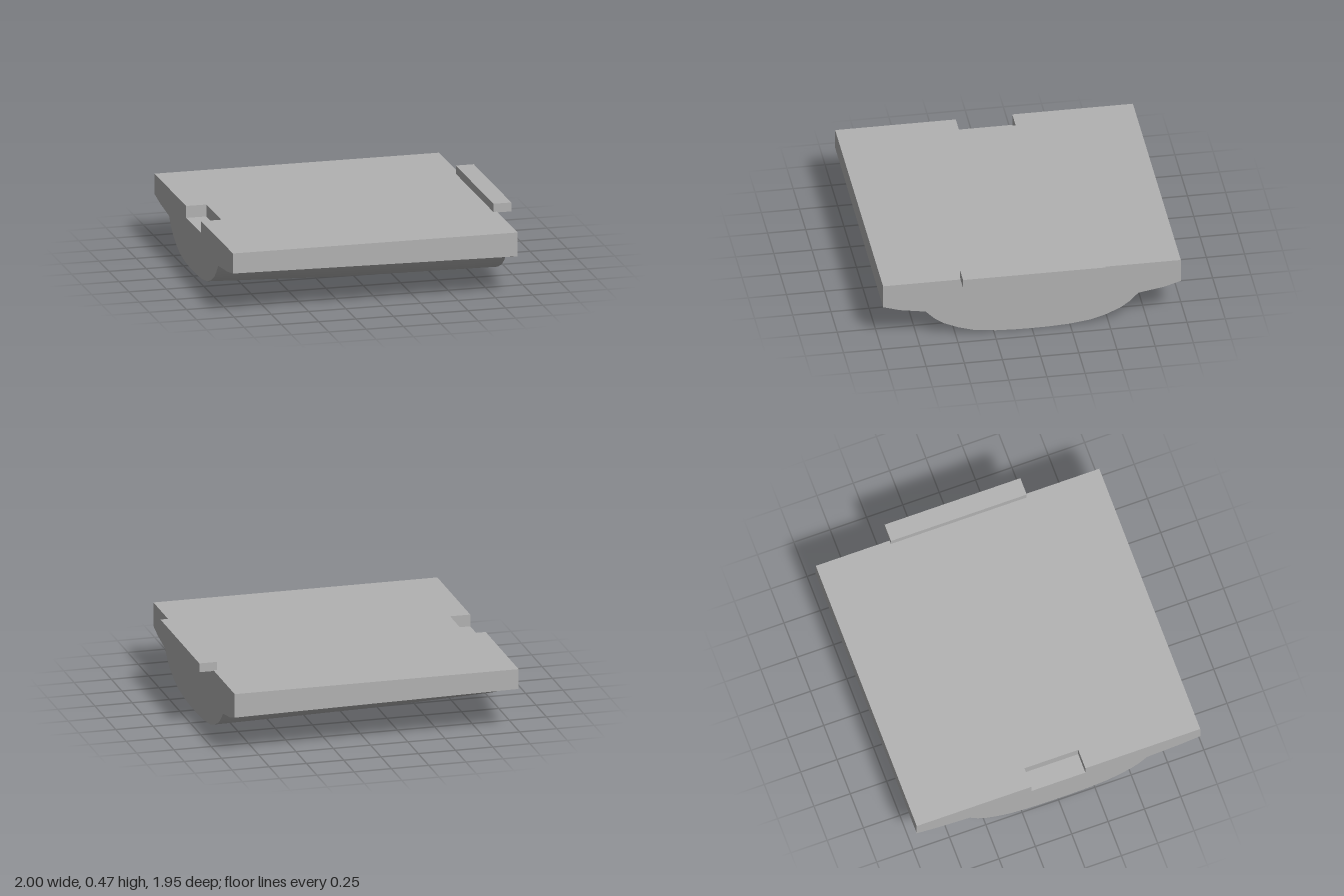
import * as THREE from 'three';
import { toCreasedNormals } from 'three/addons/utils/BufferGeometryUtils.js';

const TOP = 0.42, HALF = 0.975, X0 = -1, X1 = 0.905;
const NOTCH_X = -0.865, NOTCH_Z = 0.185, NOTCH_Y = 0.34;

// belly outline from shoulder to keel: [fraction of half width, fraction of depth]
const BELLY = [[1, 1], [0.914, 0.7], [0.83, 0.49], [0.69, 0.275], [0.55, 0.13], [0.34, 0.035], [0.14, 0.004]];

// cross-section at x as [z, y], running from -z along the underside, then back over the top
function section(x, notched) {
  const t = (x - X0) / (X1 - X0);
  const lerp = THREE.MathUtils.lerp;
  const edgeY = lerp(0.285, 0.26, t);
  const shoulderZ = lerp(0.61, 0.697, t), shoulderY = lerp(0.237, 0.198, t);
  const keelY = x < -0.15 ? lerp(0.03, 0.003, (x - X0) / 0.85) : lerp(0.003, 0, (x + 0.15) / 1.055);
  const half = [
    [HALF, TOP], [HALF, edgeY],
    [lerp(HALF, shoulderZ, 0.4), lerp(edgeY, shoulderY, 0.55)],
    ...BELLY.map(([w, h]) => [w * shoulderZ, lerp(keelY, shoulderY, h)]),
  ];
  const ring = [...half.map(([z, y]) => [-z, y]), [0, keelY], ...half.slice().reverse()];
  if (notched) ring.push([NOTCH_Z, TOP], [NOTCH_Z, NOTCH_Y], [-NOTCH_Z, NOTCH_Y], [-NOTCH_Z, TOP]);
  return ring;
}

// skin between the sections, with optional end caps
function loft(out, xs, notched, capEnd) {
  const rings = xs.map((x) => section(x, notched).map(([z, y]) => [x, y, z]));
  const n = rings[0].length;
  for (let s = 0; s < rings.length - 1; s++) {
    for (let i = 0; i < n; i++) {
      const j = (i + 1) % n;
      const a = rings[s][i], b = rings[s + 1][i], c = rings[s + 1][j], d = rings[s][j];
      out.push(...a, ...b, ...c, ...a, ...c, ...d);
    }
  }
  const cap = (ring, flip) => {
    const faces = THREE.ShapeUtils.triangulateShape(ring.map((p) => new THREE.Vector2(p[2], p[1])), []);
    for (const [a, b, c] of faces) out.push(...ring[a], ...ring[flip ? c : b], ...ring[flip ? b : c]);
  };
  cap(rings[0], false);
  if (capEnd) cap(rings[rings.length - 1], true);
}

export function createModel() {
  const model = new THREE.Group();
  model.name = 'taperedPanel';
  const grey = new THREE.MeshStandardMaterial({ color: 0xb2b2b2 });
  grey.name = 'grey';

  // slab with rounded belly; the short right-hand stretch carries the notch
  const points = [];
  loft(points, [X0, NOTCH_X], true, false);
  loft(points, [NOTCH_X, -0.15, X1], false, true);
  const geometry = new THREE.BufferGeometry();
  geometry.setAttribute('position', new THREE.Float32BufferAttribute(points, 3));
  const body = new THREE.Mesh(toCreasedNormals(geometry, 0.35), grey);
  body.name = 'slabAndBelly';
  model.add(body);

  // overhanging bar on the left edge
  const bar = new THREE.Mesh(new THREE.BoxGeometry(0.12, 0.06, 0.934), grey);
  bar.name = 'edgeBar';
  bar.position.set(0.94, 0.445, 0);
  model.add(bar);

  return model;
}
